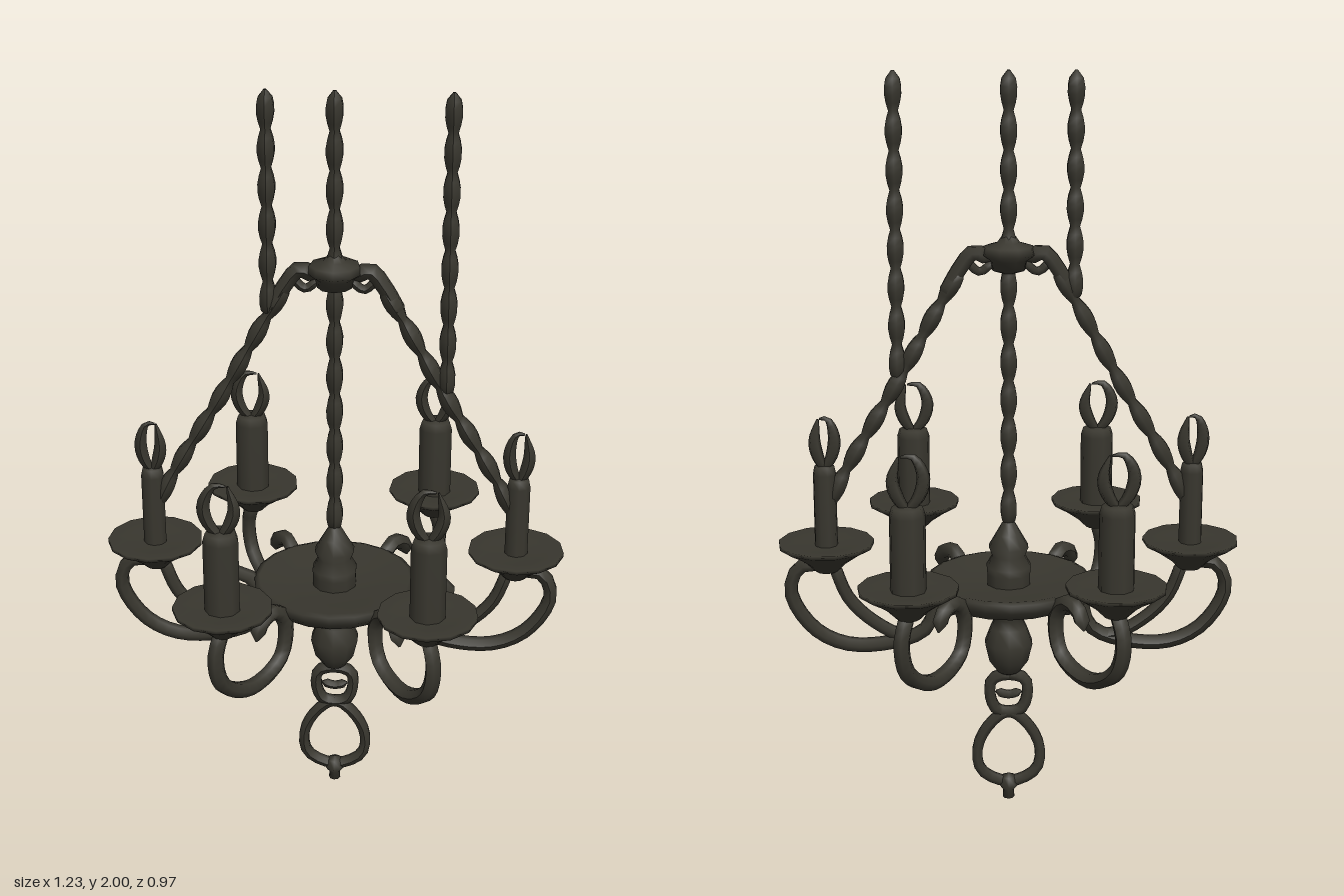
import * as THREE from 'three';

const iron = new THREE.MeshStandardMaterial({ color: 0x38362e, side: THREE.DoubleSide });
iron.name = 'dark iron';

const mesh = (name, geometry, parent) => {
  const m = new THREE.Mesh(geometry, iron);
  m.name = name;
  parent.add(m);
  return m;
};

// Smooth tube through [x, y] or [x, y, z] points; radius(t) gives its thickness along the way
function tube(points, radius, segments = 20, sides = 6, closed = false) {
  const curve = new THREE.CatmullRomCurve3(
    points.map(([x, y, z = 0]) => new THREE.Vector3(x, y, z)), closed);
  const g = new THREE.TubeGeometry(curve, segments, 1, sides, closed);
  const pos = g.attributes.position, v = new THREE.Vector3();
  for (let i = 0; i < pos.count; i++) {
    const t = Math.floor(i / (sides + 1)) / segments;
    const c = curve.getPointAt(t);
    v.fromBufferAttribute(pos, i).sub(c).multiplyScalar(radius(t)).add(c);
    pos.setXYZ(i, v.x, v.y, v.z);
  }
  g.computeVertexNormals();
  return g;
}

const lathe = (profile, sides) =>
  new THREE.LatheGeometry(profile.map(([r, y]) => new THREE.Vector2(r, y)), sides);

// Chain of narrow worn links, thick in the middle of each link and pinched between
function chain(points, length) {
  const links = Math.round(length / 0.1);
  return tube(points, t => t === 0 || t === 1 ? 0.004
    : 0.014 + 0.011 * Math.abs(Math.sin(t * links * Math.PI)), links * 5, 6);
}

// Rod that keeps its thickness and closes at the ends
const rod = r => t => (t === 0 || t === 1 ? 0.003 : r);

// Scroll arm profiles as [distance from axis, height]
const SCROLL = [[0.32, 0.60], [0.30, 0.645], [0.25, 0.66], [0.205, 0.61], [0.225, 0.51]];
const DIAGONAL_ARM = [...SCROLL, [0.34, 0.472], [0.45, 0.53], [0.475, 0.62], [0.445, 0.70]];
const WIDE_ARM = [...SCROLL, [0.41, 0.465], [0.52, 0.51], [0.585, 0.62], [0.56, 0.69], [0.49, 0.70]];
const INNER_ARM = [[0.22, 0.50], [0.28, 0.49], [0.36, 0.53], [0.43, 0.60], [0.47, 0.70]];

function candleHolder(x, z, candleRadius) {
  const g = new THREE.Group();
  g.name = 'candleHolder';
  g.position.set(x, 0, z);
  mesh('dripPan', lathe([[0, 0.675], [0.03, 0.68], [0.055, 0.705], [0.09, 0.73], [0.128, 0.752],
    [0.128, 0.762], [0.08, 0.755], [0, 0.752]], 13), g);
  mesh('candle', lathe([[candleRadius, 0.75], [candleRadius, 0.95], [candleRadius * 0.85, 0.972],
    [0, 0.975]], 9), g);
  // Flame of two curling wisps
  const taper = t => 0.003 + 0.015 * Math.sin(Math.PI * (0.15 + 0.85 * t));
  const s = candleRadius / 0.045;
  mesh('flameLeft', tube([[0, 0.96], [-0.03 * s, 1.0], [-0.04 * s, 1.05], [-0.015 * s, 1.1], [0.015 * s, 1.1]], taper, 12, 5), g);
  mesh('flameRight', tube([[0, 0.96], [0.025 * s, 1.0], [0.035 * s, 1.04], [0.02 * s, 1.1]], taper, 12, 5), g);
  return g;
}

export function createModel() {
  const model = new THREE.Group();
  model.name = 'chandelier';

  // Central hub: turned column and dished plate
  mesh('column', lathe([[0, 0.37], [0.03, 0.385], [0.055, 0.42], [0.067, 0.47], [0.05, 0.515],
    [0.038, 0.54], [0.06, 0.57], [0.06, 0.67], [0.062, 0.69], [0.045, 0.72], [0.055, 0.745],
    [0.035, 0.78], [0.018, 0.81], [0, 0.83]], 10), model);
  mesh('hubPlate', lathe([[0.03, 0.58], [0.09, 0.592], [0.19, 0.605], [0.215, 0.63], [0.22, 0.655],
    [0.205, 0.66], [0.13, 0.645], [0.05, 0.64]], 20), model);

  // Six candles on scrolled arms
  for (const side of [1, -1]) {
    const wide = new THREE.Group();
    wide.name = 'sideArm';
    wide.rotation.y = side > 0 ? 0 : Math.PI;
    mesh('outerScroll', tube(WIDE_ARM, rod(0.02), 28), wide);
    mesh('innerScroll', tube(INNER_ARM, rod(0.018), 14), wide);
    model.add(wide, candleHolder(side * 0.487, 0, 0.031));
    for (const front of [1, -1]) {
      const arm = mesh('diagonalArm', tube(DIAGONAL_ARM, rod(0.022), 28), model);
      arm.rotation.y = -Math.atan2(front * 0.36, side * 0.26);
      model.add(candleHolder(side * 0.26, front * 0.36, 0.046));
    }
  }

  // Crown collar where the chains meet
  mesh('crown', lathe([[0.015, 1.485], [0.045, 1.495], [0.05, 1.52], [0.072, 1.535], [0.065, 1.555],
    [0.03, 1.565], [0.012, 1.59]], 9), model);

  // Chains: centre, two sloping side chains with hooks, two hanging chains
  mesh('centreChain', chain([[0, 0.8], [0, 1.4], [0, 2]], 1.2), model);
  for (const s of [1, -1]) {
    mesh('slopingChain', chain([[s * 0.12, 1.5], [s * 0.18, 1.4], [s * 0.29, 1.2], [s * 0.46, 0.9],
      [s * 0.5, 0.77]], 0.84), model);
    mesh('crownHook', tube([[s * 0.04, 1.52], [s * 0.09, 1.54], [s * 0.125, 1.5], [s * 0.17, 1.42]],
      rod(0.022), 10), model);
    mesh('crownCurl', tube([[s * 0.11, 1.52], [s * 0.075, 1.49], [s * 0.04, 1.515]], rod(0.012), 8), model);
  }
  mesh('leftHangingChain', chain([[0.29, 1.2], [0.29, 1.6], [0.29, 2]], 0.8), model);
  mesh('rightHangingChain', chain([[-0.17, 1.41], [-0.17, 1.7], [-0.17, 2]], 0.6), model);

  // Pendant: small link, teardrop ring and finial
  mesh('pendantLink', tube([[0, 0.375], [0.045, 0.36], [0.05, 0.31], [0.03, 0.27], [-0.03, 0.27],
    [-0.05, 0.31], [-0.045, 0.36]], () => 0.017, 18, 6, true), model);
  mesh('pendantRing', tube([[0, 0.265], [0.05, 0.23], [0.085, 0.16], [0.075, 0.09], [0, 0.055],
    [-0.075, 0.09], [-0.085, 0.16], [-0.05, 0.23]], () => 0.016, 24, 6, true), model);
  mesh('linkBar', tube([[-0.035, 0.325], [0, 0.315], [0.035, 0.325]], rod(0.012), 6), model);
  mesh('finial', lathe([[0, 0], [0.016, 0.008], [0.015, 0.03], [0.028, 0.045], [0.02, 0.07], [0, 0.08]], 8), model);

  return model;
}
